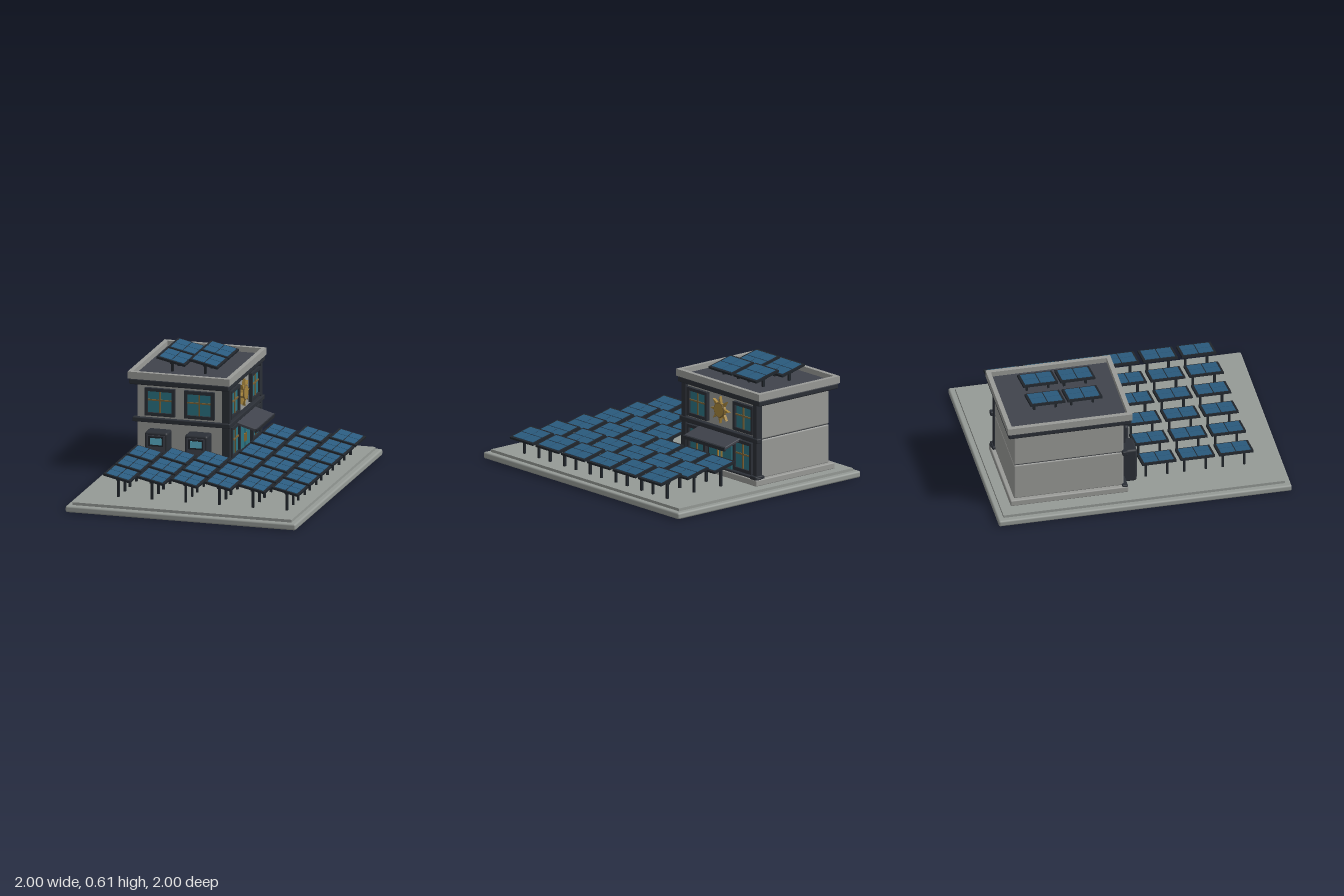
import * as THREE from 'three';
import { RoundedBoxGeometry } from 'three/addons/geometries/RoundedBoxGeometry.js';

const mat = (name, color) => {
  const m = new THREE.MeshStandardMaterial({ color });
  m.name = name;
  return m;
};

export function createModel() {
  const concrete = mat('concrete', 0x959a96);
  const wall = mat('wall grey', 0x999a97);
  const trim = mat('dark trim', 0x2b2f36);
  const slate = mat('roof slate', 0x40434c);
  const frame = mat('panel frame', 0x21262c);
  const cell = mat('solar blue', 0x2b5c80);
  const glass = mat('teal glass', 0x2b7483);
  const bronze = mat('bronze', 0x7a6236);
  const gold = mat('gold', 0xa5843c);
  const screenBlue = mat('screen blue', 0x5cb4cc);

  const model = new THREE.Group();
  model.name = 'solarStation';
  const site = new THREE.Group();
  site.name = 'site';
  site.rotation.y = Math.PI / 4;
  model.add(site);

  const add = (parent, name, geo, m, x, y, z) => {
    const mesh = new THREE.Mesh(geo, m);
    mesh.name = name;
    mesh.position.set(x, y, z);
    parent.add(mesh);
    return mesh;
  };
  const box = (parent, name, m, w, h, d, x, y, z) =>
    add(parent, name, new THREE.BoxGeometry(w, h, d), m, x, y, z);
  const rbox = (parent, name, m, w, h, d, x, y, z, r = 0.006) =>
    add(parent, name, new RoundedBoxGeometry(w, h, d, 2, r), m, x, y, z);
  // box given by its limits
  const span = (parent, name, m, x0, x1, y0, y1, z0, z1, r = 0) => {
    const a = [x1 - x0, y1 - y0, z1 - z0, (x0 + x1) / 2, (y0 + y1) / 2, (z0 + z1) / 2];
    return r ? rbox(parent, name, m, ...a, r) : box(parent, name, m, ...a);
  };
  const group = (parent, name, x, y, z) => {
    const g = new THREE.Group();
    g.name = name;
    g.position.set(x, y, z);
    parent.add(g);
    return g;
  };

  // ground slab in two steps
  rbox(site, 'baseSlab', concrete, 1.575, 0.035, 1.265, 0, 0.0175, 0, 0.01);
  span(site, 'groundTop', concrete, -0.757, 0.757, 0.03, 0.05, -0.602, 0.602);

  // tilted solar panel on two legs
  const solarPanel = (x, y, z, ground, w = 0.185, d = 0.15) => {
    const g = group(site, 'solarPanel', x, y, z);
    const top = group(g, 'panelTop', 0, 0, 0);
    top.rotation.x = 0.22;
    box(top, 'panelFrame', frame, w, 0.012, d, 0, 0, 0);
    const cw = (w - 0.03) / 2, cd = (d - 0.03) / 2;
    for (const sx of [-1, 1]) for (const sz of [-1, 1])
      box(top, 'solarCell', cell, cw, 0.004, cd, sx * (cw + 0.005) / 2, 0.0065, sz * (cd + 0.005) / 2);
    box(g, 'crossBar', frame, w * 0.85, 0.01, 0.014, 0, -0.011, 0);
    const h = y - 0.006 - ground;
    for (const sx of [-1, 1])
      box(g, 'panelLeg', frame, 0.012, h, 0.012, sx * 0.058, -0.006 - h / 2, 0);
  };
  for (let c = 0; c < 6; c++)
    for (let r = 0; r < (c < 3 ? 6 : 3); r++)
      solarPanel(-0.523 + c * 0.207, 0.158, 0.522 - r * 0.185, 0.05);

  // building shell
  const house = group(site, 'building', 0, 0, 0);
  span(house, 'plinth', wall, 0.068, 0.702, 0.048, 0.083, -0.527, 0.02, 0.006);
  span(house, 'lowerWalls', wall, 0.09, 0.68, 0.08, 0.291, -0.505, -0.015, 0.008);
  span(house, 'upperWalls', wall, 0.09, 0.68, 0.293, 0.5, -0.505, -0.015, 0.008);
  span(house, 'wallJoint', trim, 0.095, 0.675, 0.28, 0.305, -0.5, -0.02);
  span(house, 'eaveBand', trim, 0.055, 0.715, 0.485, 0.517, -0.54, 0.01, 0.008);

  // roof deck and parapet
  span(house, 'roofDeck', slate, 0.07, 0.70, 0.51, 0.527, -0.525, -0.005);
  const rim = 0.024;
  span(house, 'parapetBack', wall, 0.05, 0.72, 0.517, 0.555, -0.545, -0.545 + rim);
  span(house, 'parapetFront', wall, 0.05, 0.72, 0.517, 0.555, 0.015 - rim, 0.015);
  span(house, 'parapetSide', wall, 0.05, 0.05 + rim, 0.517, 0.555, -0.545 + rim, 0.015 - rim);
  span(house, 'parapetSide', wall, 0.72 - rim, 0.72, 0.517, 0.555, -0.545 + rim, 0.015 - rim);
  for (const x of [0.28, 0.48]) for (const z of [-0.35, -0.17])
    solarPanel(x, 0.588, z, 0.527, 0.187, 0.16);

  // trim bands and corner pilasters on the two open faces
  for (const [y0, y1] of [[0.068, 0.092], [0.28, 0.305]]) {
    span(house, 'frontBand', trim, 0.07, 0.7, y0, y1, -0.02, 0.012, 0.005);
    span(house, 'sideBand', trim, 0.07, 0.1, y0, y1, -0.525, 0.01, 0.005);
  }
  for (const x of [0.097, 0.671]) {
    span(house, 'pilaster', trim, x - 0.015, x + 0.015, 0.08, 0.49, -0.035, 0.004);
    span(house, 'pilasterFoot', trim, x - 0.024, x + 0.024, 0.065, 0.1, -0.045, 0.018, 0.005);
  }

  // window facing its group's +z
  const addWindow = (parent, x, y, z, w, h, turn = 0) => {
    const g = group(parent, 'window', x, y, z);
    g.rotation.y = turn;
    const t = 0.017;
    for (const s of [-1, 1]) {
      box(g, 'windowFrameSide', trim, t, h, 0.022, s * (w - t) / 2, 0, 0.006);
      box(g, 'windowFrameRail', trim, w, t, 0.022, 0, s * (h - t) / 2, 0.006);
    }
    box(g, 'windowPane', glass, w - t, h - t, 0.008, 0, 0, 0.002);
    box(g, 'mullion', bronze, 0.008, h - 2 * t, 0.006, 0, 0, 0.009);
    box(g, 'transom', bronze, w - 2 * t, 0.008, 0.006, 0, 0.01, 0.009);
  };
  for (const x of [0.203, 0.573]) {
    addWindow(house, x, 0.393, -0.013, 0.16, 0.155);
    addWindow(house, x, 0.186, -0.008, 0.15, 0.17);
  }
  for (const z of [-0.376, -0.16])
    addWindow(house, 0.088, 0.393, z, 0.165, 0.15, -Math.PI / 2);

  // entrance
  span(house, 'entranceWall', trim, 0.1, 0.67, 0.09, 0.282, -0.02, -0.01);
  const door = group(house, 'door', 0.386, 0, -0.006);
  for (const s of [-1, 1]) {
    box(door, 'doorGlass', glass, 0.085, 0.142, 0.008, s * 0.049, 0.158, 0);
    box(door, 'doorHandle', gold, 0.006, 0.045, 0.01, s * 0.014, 0.155, 0.006);
  }
  const canopy = group(house, 'canopy', 0.386, 0.257, 0.048);
  canopy.rotation.x = 0.28;
  rbox(canopy, 'canopySlab', slate, 0.33, 0.016, 0.13, 0, 0, 0, 0.004);
  box(canopy, 'canopyLip', trim, 0.33, 0.022, 0.01, 0, -0.003, 0.062);

  // sun emblem made of a disc and tapered rays
  const sun = group(house, 'sunOrnament', 0.383, 0.398, -0.015);
  const disc = add(sun, 'sunDisc', new THREE.CylinderGeometry(0.036, 0.038, 0.022, 24), gold, 0, 0, 0.011);
  disc.rotation.x = Math.PI / 2;
  const ring = add(sun, 'sunRing', new THREE.TorusGeometry(0.037, 0.005, 6, 24), bronze, 0, 0, 0.018);
  ring.scale.z = 0.8;
  const rayShape = new THREE.Shape([
    new THREE.Vector2(-0.009, 0.04), new THREE.Vector2(0.009, 0.04), new THREE.Vector2(0, 0.074)]);
  const rayGeo = new THREE.ExtrudeGeometry(rayShape, { depth: 0.016, bevelEnabled: false });
  for (let i = 0; i < 8; i++)
    add(sun, 'sunRay', rayGeo, gold, 0, 0, 0).rotation.z = i * Math.PI / 4;

  // battery cabinets beside the wall
  for (const z of [-0.375, -0.155]) {
    const b = group(house, 'batteryCabinet', 0.048, 0, z);
    rbox(b, 'cabinetBody', trim, 0.09, 0.198, 0.125, 0, 0.149, 0, 0.012);
    box(b, 'cabinetDoor', slate, 0.008, 0.165, 0.1, -0.044, 0.15, 0);
    box(b, 'screenBezel', frame, 0.006, 0.054, 0.082, -0.047, 0.2, 0);
    box(b, 'screen', screenBlue, 0.005, 0.036, 0.062, -0.049, 0.2, 0);
    for (let i = 0; i < 3; i++)
      box(b, 'vent', frame, 0.005, 0.007, 0.07, -0.047, 0.1 + i * 0.018, 0);
  }

  return model;
}
